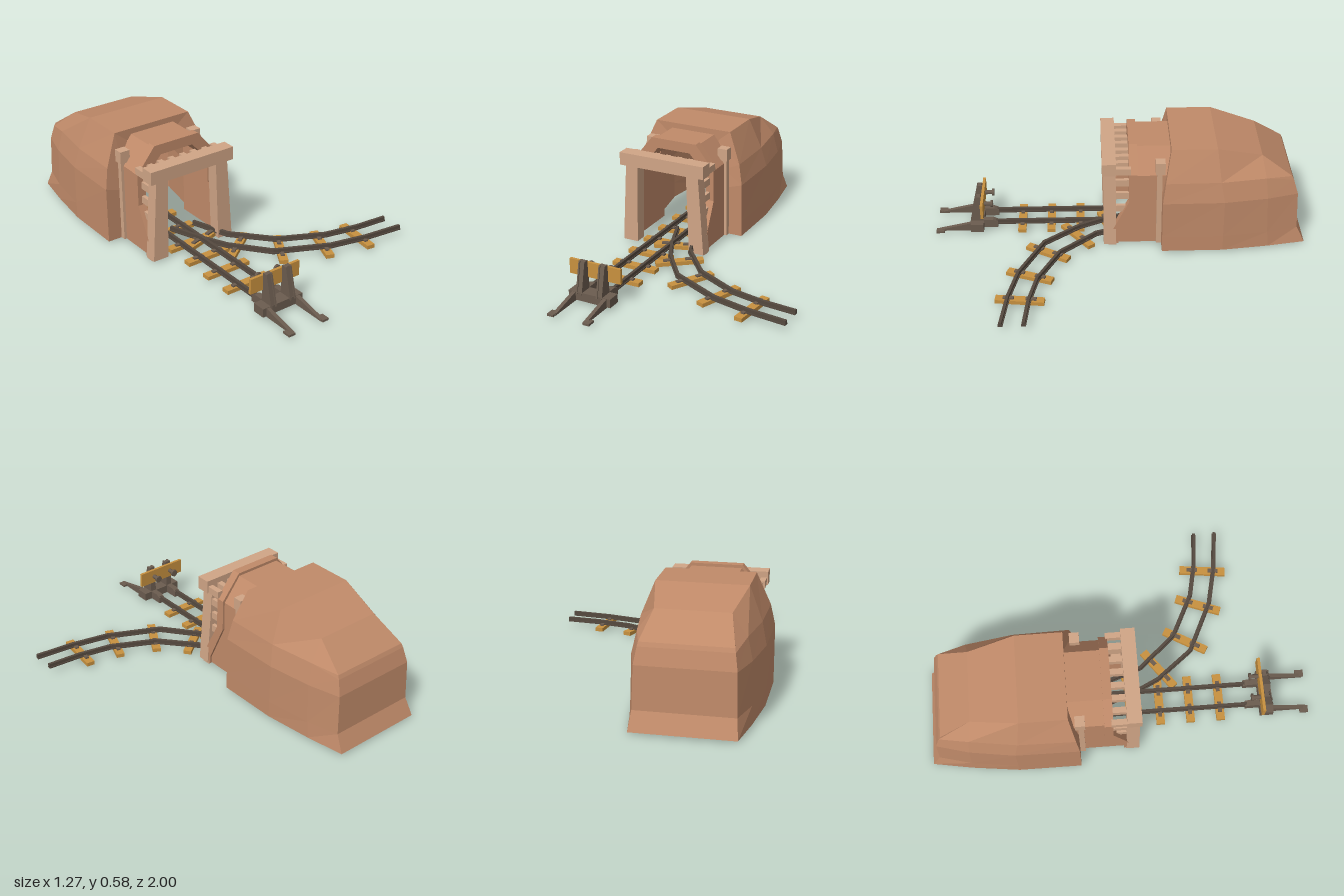
import * as THREE from 'three';

const mat = (name, color) => {
  const m = new THREE.MeshStandardMaterial({ color });
  m.name = name;
  return m;
};

// Ring of points from the +x foot over the top to the -x foot; levels are [halfWidth, y, z]
const ring = (levels) => [
  ...levels.map(([w, y, z]) => [w, y, z]),
  ...[...levels].reverse().map(([w, y, z]) => [-w, y, z]),
];

// Thick shell lofted front to back between matching outer and inner rings, open underneath
function shell(outerLevels, innerLevels, closedBack) {
  const O = outerLevels.map(ring), I = innerLevels.map(ring), pos = [];
  const quad = (a, b, c, d) => pos.push(...a, ...b, ...c, ...a, ...c, ...d);
  const n = O[0].length, last = O.length - 1;
  for (let k = 0; k < last; k++) {
    for (let i = 0; i < n - 1; i++) {
      quad(O[k][i], O[k + 1][i], O[k + 1][i + 1], O[k][i + 1]);
      quad(I[k][i], I[k][i + 1], I[k + 1][i + 1], I[k + 1][i]);
    }
    quad(O[k][0], I[k][0], I[k + 1][0], O[k + 1][0]);
    quad(O[k][n - 1], O[k + 1][n - 1], I[k + 1][n - 1], I[k][n - 1]);
  }
  for (let i = 0; i < n - 1; i++) {
    quad(O[0][i], O[0][i + 1], I[0][i + 1], I[0][i]);
    if (!closedBack) quad(O[last][i], I[last][i], I[last][i + 1], O[last][i + 1]);
  }
  if (closedBack) {
    const o = O[last], v = I[last];
    for (let i = 0; i < n / 2 - 1; i++) {
      quad(o[i], o[n - 1 - i], o[n - 2 - i], o[i + 1]);
      quad(v[i], v[i + 1], v[n - 2 - i], v[n - 1 - i]);
    }
    quad(o[0], v[0], v[n - 1], o[n - 1]);
  }
  const g = new THREE.BufferGeometry();
  g.setAttribute('position', new THREE.Float32BufferAttribute(pos, 3));
  g.computeVertexNormals();
  return g;
}

// Side outline given as [z, y] points, extruded along x and centred
function sideExtrude(points, width) {
  const s = new THREE.Shape(points.map(([z, y]) => new THREE.Vector2(-z, y)));
  const g = new THREE.ExtrudeGeometry(s, { depth: width, bevelEnabled: false });
  g.translate(0, 0, -width / 2);
  return g.rotateY(Math.PI / 2);
}

export function createModel() {
  const rock = mat('rock brown', 0xc08a69);
  const timber = mat('pale timber', 0xd0a586);
  const plank = mat('sleeper wood', 0xc8913f);
  const iron = mat('dark iron', 0x6b5c4f);
  const railMat = mat('rail iron', 0x55493f);

  const root = new THREE.Group();
  root.name = 'mineEntrance';
  const group = (name, x = 0) => {
    const g = new THREE.Group();
    g.name = name;
    g.position.x = x;
    root.add(g);
    return g;
  };
  const add = (parent, name, geo, m, x = 0, y = 0, z = 0) => {
    const mesh = new THREE.Mesh(geo, m);
    mesh.name = name;
    mesh.position.set(x, y, z);
    parent.add(mesh);
    return mesh;
  };
  // Box from its minimum and maximum corners
  const box = (parent, name, m, x0, x1, y0, y1, z0, z1) =>
    add(parent, name, new THREE.BoxGeometry(x1 - x0, y1 - y0, z1 - z0), m,
      (x0 + x1) / 2, (y0 + y1) / 2, (z0 + z1) / 2);

  // Hollow rock mound
  const mine = group('mine', -0.3175);
  const moundOuter = [
    [[.317, .01, -.225], [.317, .1, -.225], [.317, .31, -.225], [.295, .42, -.24], [.225, .585, -.27]],
    [[.316, .01, -.55], [.316, .1, -.55], [.314, .31, -.55], [.29, .42, -.53], [.225, .585, -.51]],
    [[.285, .01, -.8], [.283, .1, -.79], [.28, .31, -.78], [.255, .42, -.77], [.18, .52, -.75]],
    [[.25, .01, -1], [.24, .1, -.955], [.235, .31, -.945], [.222, .39, -.92], [.218, .41, -.91]],
  ];
  const moundInner = moundOuter.map((r, k) => r.map(([w, y, z]) =>
    [w * (k ? .88 : .68), y < .2 ? y : y * .9, k === 3 ? z + .05 : z]));
  add(mine, 'rockMound', shell(moundOuter, moundInner, true), rock);

  // Portal vault and its front collar, both kicking forward at the foot
  const arch = (w, topW, shoulder, top, kick, z) => [
    [w, .01, z + kick], [w, .05, z + kick], [w, .27, z], [w, shoulder, z], [topW, top, z]];
  add(mine, 'portalVault', shell(
    [arch(.225, .128, .43, .555, .1, -.09), arch(.225, .128, .43, .555, 0, -.28)],
    [arch(.195, .1, .41, .515, .1, -.09), arch(.195, .1, .41, .515, 0, -.28)], false), rock);
  add(mine, 'portalCollar', shell(
    [arch(.237, .132, .44, .57, .11, -.05), arch(.237, .132, .44, .57, .1, -.095)],
    [arch(.19, .095, .41, .515, .11, -.05), arch(.19, .095, .41, .515, .1, -.095)], false), rock);

  // Timber frame: lintel, tapered posts, rear posts and slats
  box(mine, 'lintel', timber, -.248, .248, .443, .513, .018, .092);
  for (const s of [-1, 1]) {
    const post = new THREE.BoxGeometry(.078, .435, .066);
    const p = post.attributes.position;
    for (let i = 0; i < p.count; i++) {
      const outside = p.getX(i) * s > 0, low = p.getY(i) < 0;
      p.setX(i, s * (outside ? (low ? .243 : .215) : (low ? .157 : .145)));
    }
    post.computeVertexNormals();
    add(mine, 'frontPost', post, timber, 0, .2275, .052);
    const mirrored = (name, a, b, ...rest) =>
      box(mine, name, timber, Math.min(s * a, s * b), Math.max(s * a, s * b), ...rest);
    mirrored('postFoot', .185, .238, 0, .02, .015, .06);
    mirrored('rearPost', .2, .24, .01, .45, -.225, -.197);
    mirrored('rearPostCap', .19, .245, .447, .513, -.24, -.19);
    for (const y of [.2, .28, .36]) mirrored('sideSlat', .195, .215, y, y + .038, -.06, .03);
    for (const x of [.02, .085, .15, .212]) mirrored('roofSlat', x, x + .03, .445, .482, -.06, .03);
  }

  // Track helpers
  const track = group('track');
  const rail = (name, pts) => {
    for (let i = 0; i < pts.length - 1; i++) {
      const [ax, az] = pts[i], [bx, bz] = pts[i + 1];
      const len = Math.hypot(bx - ax, bz - az) + .005;
      for (const [w, h, y] of [[.015, .024, .043], [.024, .007, .034]]) {
        const m = add(track, name, new THREE.BoxGeometry(w, h, len), railMat, (ax + bx) / 2, y, (az + bz) / 2);
        m.rotation.y = Math.atan2(bx - ax, bz - az);
      }
    }
  };
  const sleeper = (x, z, angle) => {
    const g = new THREE.Group();
    g.name = 'sleeper';
    g.position.set(x, 0, z);
    g.rotation.y = angle;
    track.add(g);
    box(g, 'sleeperPlank', plank, -.126, .126, .01, .031, -.022, .022);
    for (const s of [-.058, .058]) box(g, 'railClip', iron, s - .028, s + .028, .031, .039, -.01, .01);
  };

  // Straight track into the mine
  for (const x of [-.375, -.262]) rail('straightRail', [[x, .74], [x, -.66]]);
  for (let i = 0; i < 8; i++) sleeper(-.32, .53 - i * .16, 0);

  // Branch track curving to the left
  rail('branchOuterRail', [[-.33, -.1], [-.26, .09], [-.2, .215], [-.05, .405], [.22, .535], [.42, .58], [.63, .605]]);
  rail('branchInnerRail', [[-.2, -.08], [-.13, .125], [.04, .32], [.27, .435], [.45, .473], [.63, .49]]);
  const ties = [[.43, .39, .4, .645], [.26, .355, .17, .59], [.075, .275, -.05, .49], [-.045, .155, -.235, .295], [-.14, .03, -.34, .09]];
  for (const [ax, az, bx, bz] of ties)
    sleeper((ax + bx) / 2, (az + bz) / 2, Math.atan2(bz - az, ax - bx));

  // End stop closing the straight track
  const stop = group('endStop', -.3185);
  box(stop, 'stopBase', iron, -.118, .118, .015, .06, .74, .81);
  box(stop, 'stopBeam', plank, -.145, .145, .12, .2, .735, .75);
  for (const s of [-1, 1]) {
    const x = s * .057;
    add(stop, 'upright', sideExtrude([[.742, .05], [.81, .05], [.772, .212], [.752, .212]], .018), iron, x);
    for (const e of [-1, 1])
      add(stop, 'uprightFlange', sideExtrude([[.742, .05], [.815, .05], [.777, .212], [.75, .212]], .008), iron, x + e * .013);
    add(stop, 'railShoe', sideExtrude([[.75, .015], [.75, .062], [.69, .062], [.665, .05], [.665, .015]], .032), iron, x);
    const shaft = add(stop, 'bumperShaft', new THREE.CylinderGeometry(.012, .012, .05, 8), iron, x, .16, .715);
    const pad = add(stop, 'bumperPad', new THREE.CylinderGeometry(.02, .02, .012, 8), iron, x, .16, .692);
    shaft.rotation.x = pad.rotation.x = Math.PI / 2;
    add(stop, 'groundLeg', sideExtrude([[.8, .012], [.99, .012], [.99, .018], [.8, .06]], .02), iron, s * .088);
    box(stop, 'legFoot', iron, s * .1 - .018, s * .1 + .018, .01, .021, .955, 1);
  }
  return root;
}
